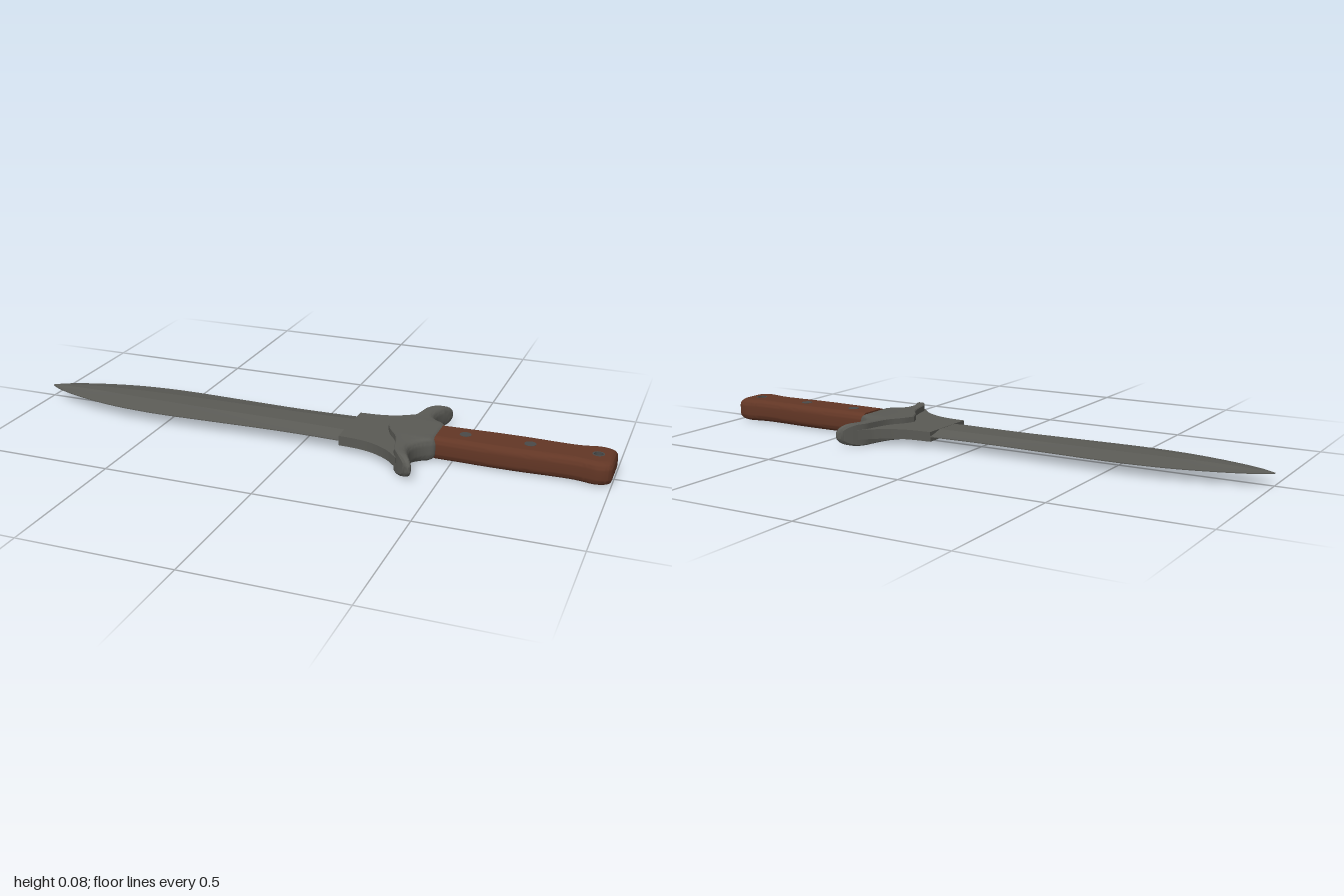
import * as THREE from 'three';
import { toCreasedNormals } from 'three/addons/utils/BufferGeometryUtils.js';

const HALF = 0.0385; // half of the full height

// Skin a row of equal-length closed rings, optionally closing both ends.
function loft(rings, capped = true, crease = 0.5) {
  const n = rings[0].length;
  const verts = rings.flat();
  let tris = [];
  for (let i = 0; i < rings.length - 1; i++) {
    for (let j = 0; j < n; j++) {
      const a = i * n + j, b = i * n + (j + 1) % n;
      tris.push([a, b, b + n], [a, b + n, a + n]);
    }
  }
  if (capped) {
    [0, rings.length - 1].forEach((r) => {
      const mid = rings[r].reduce((s, p) => s.add(p), new THREE.Vector3()).divideScalar(n);
      const c = verts.push(mid) - 1;
      for (let j = 0; j < n; j++) {
        const a = r * n + j, b = r * n + (j + 1) % n;
        tris.push(r === 0 ? [c, b, a] : [c, a, b]);
      }
    });
  }
  // Turn the faces outward
  const centre = new THREE.Box3().setFromPoints(verts).getCenter(new THREE.Vector3());
  const rel = verts.map((v) => v.clone().sub(centre));
  const volume = tris.reduce((s, [a, b, c]) => s + rel[a].dot(rel[b].clone().cross(rel[c])), 0);
  if (volume < 0) tris = tris.map(([a, b, c]) => [a, c, b]);
  const geo = new THREE.BufferGeometry().setFromPoints(verts);
  geo.setIndex(tris.flat());
  geo.computeVertexNormals();
  return toCreasedNormals(geo, crease);
}

const V = (x, y, z) => new THREE.Vector3(x, y, z);
const spline = (points, count) =>
  new THREE.CatmullRomCurve3(points.map((p) => V(p[0], p[1], p[2] || 0))).getPoints(count);

// Leaf-shaped blade: flat centre, bevels to thin edges
function bladeGeometry() {
  // x, half width, half thickness
  const keys = [
    [-1, 0.002, 0.001], [-0.96, 0.027, 0.006], [-0.9, 0.052, 0.01], [-0.8, 0.081, 0.014],
    [-0.7, 0.101, 0.015], [-0.6, 0.111, 0.0155], [-0.5, 0.114, 0.0155], [-0.3, 0.108, 0.0155],
    [-0.1, 0.102, 0.0155], [0.02, 0.103, 0.0155], [0.14, 0.107, 0.0155],
  ];
  return loft(spline(keys, 60).map(({ x, y: w, z: t }) => {
    const f = w * THREE.MathUtils.mapLinear(x, -1, 0.14, 0.2, 0.46);
    const m = (f + w) / 2, e = 0.0015, mt = t * 0.48;
    const upper = [[-w, e], [-m, mt], [-f, t], [f, t], [m, mt], [w, e]];
    const lower = upper.map(([z, y]) => [z, -y]).reverse();
    return [...upper, ...lower].map(([z, y]) => V(x, y, z));
  }), true, 0.12);
}

// Flat plate that flares from the blade into the guard
function ricassoGeometry() {
  const keys = [[0.135, 0.108], [0.2, 0.113], [0.25, 0.125], [0.29, 0.145],
    [0.32, 0.166], [0.345, 0.192], [0.36, 0.208]];
  const t = 0.0165;
  return loft(spline(keys, 24).map(({ x, y: w }) =>
    [V(x, t, -w), V(x, t, w), V(x, -t, w), V(x, -t, -w)]));
}

// Guard: crisp pointed front, rounded back, two swept horns
function guardGeometry() {
  // z, front x, back x
  const half = [
    [0, 0.27, 0.447], [0.035, 0.286, 0.447], [0.07, 0.311, 0.446], [0.085, 0.319, 0.425],
    [0.1, 0.325, 0.408], [0.12, 0.331, 0.395], [0.15, 0.338, 0.388], [0.18, 0.345, 0.393],
    [0.21, 0.364, 0.405], [0.235, 0.387, 0.418], [0.247, 0.4, 0.42], [0.251, 0.407, 0.416],
  ];
  const side = spline(half, 40);
  const stations = [...side.slice(1).reverse().map((p) => V(-p.x, p.y, p.z)), ...side];
  return loft(stations.map(({ x: z, y: front, z: back }) => {
    const s = Math.max(0, (Math.abs(z) - 0.2) / 0.053);
    const h = HALF * Math.sqrt(1 - Math.min(s, 0.97) ** 2);
    const rx = Math.min(0.026, (back - front) * 0.45), ry = Math.min(0.026, h * 0.8);
    const c = 0.003 + 0.006 * Math.min(1, s);
    const cx = Math.min(c, (back - front) * 0.3), cy = Math.min(c, h * 0.4);
    const top = [[front, h - cy], [front + cx, h]];
    for (let i = 0; i <= 5; i++) {
      const a = (i / 5) * Math.PI / 2;
      top.push([back - rx + rx * Math.sin(a), h - ry + ry * Math.cos(a)]);
    }
    const bottom = top.map(([x, y]) => [x, -y]).reverse();
    return [...top, ...bottom].map(([x, y]) => V(x, y, z));
  }));
}

// Handle outline in x and z, shrunk inward by d
function handleOutline(d) {
  const keys = [[0.44, 0.066], [0.52, 0.068], [0.62, 0.071], [0.72, 0.071], [0.82, 0.067],
    [0.89, 0.067], [0.925, 0.073], [0.955, 0.079], [0.978, 0.075], [0.994, 0.066], [1, 0.055]];
  const side = spline(keys, 50).map((p) =>
    [0.44 + (p.x - 0.44) * (0.56 - d * 0.7) / 0.56, p.y - d]);
  return [...side, ...side.map(([x, z]) => [x, -z]).reverse()];
}

const hole = (r) => new THREE.Path().absarc(0.947, 0, r, 0, Math.PI * 2, true);

export function createModel() {
  const steel = new THREE.MeshStandardMaterial({ color: 0x5a5a55 });
  steel.name = 'steel';
  const wood = new THREE.MeshStandardMaterial({ color: 0x623625 });
  wood.name = 'wood';
  const pinMetal = new THREE.MeshStandardMaterial({ color: 0x4a4a49 });
  pinMetal.name = 'pinMetal';

  const model = new THREE.Group();
  model.name = 'dagger';
  const add = (parent, name, geo, mat) => {
    const mesh = new THREE.Mesh(geo, mat);
    mesh.name = name;
    parent.add(mesh);
    return mesh;
  };

  add(model, 'blade', bladeGeometry(), steel);
  add(model, 'ricasso', ricassoGeometry(), steel);
  add(model, 'guard', guardGeometry(), steel);

  // Handle: rounded side wall plus flat faces pierced by the cord hole
  const handle = new THREE.Group();
  handle.name = 'handle';
  model.add(handle);
  const R = 0.024, rings = [];
  for (const s of [1, -1]) {
    for (let i = 0; i <= 6; i++) {
      const a = ((s > 0 ? i : 6 - i) / 6) * Math.PI / 2;
      const y = s * (HALF - R + R * Math.cos(a));
      rings.push(handleOutline(R * (1 - Math.sin(a))).map(([x, z]) => V(x, y, z)));
    }
  }
  add(handle, 'handleSides', loft(rings, false, 0.7), wood);
  const face = new THREE.Shape(handleOutline(R).map(([x, z]) => new THREE.Vector2(x, z)));
  face.holes.push(hole(0.019));
  for (const s of [1, -1]) {
    const geo = new THREE.ShapeGeometry(face, 24).rotateX(-s * Math.PI / 2).translate(0, s * HALF, 0);
    add(handle, s > 0 ? 'handleTopFace' : 'handleBottomFace', geo, wood);
  }

  // Pins through the handle
  for (const x of [0.527, 0.735]) {
    add(handle, 'pin', new THREE.CylinderGeometry(0.019, 0.019, HALF * 2 + 0.001, 24), pinMetal)
      .position.x = x;
  }

  // Open tube lining the cord hole
  const tube = new THREE.Shape().absarc(0.947, 0, 0.0195, 0, Math.PI * 2, false);
  tube.holes.push(hole(0.0145));
  const tubeGeo = new THREE.ExtrudeGeometry(tube, { depth: HALF * 2, bevelEnabled: false, curveSegments: 24 });
  add(handle, 'cordHoleTube', tubeGeo.translate(0, 0, -HALF).rotateX(-Math.PI / 2), pinMetal);

  model.children.forEach((part) => { part.position.y = HALF; });
  return model;
}
